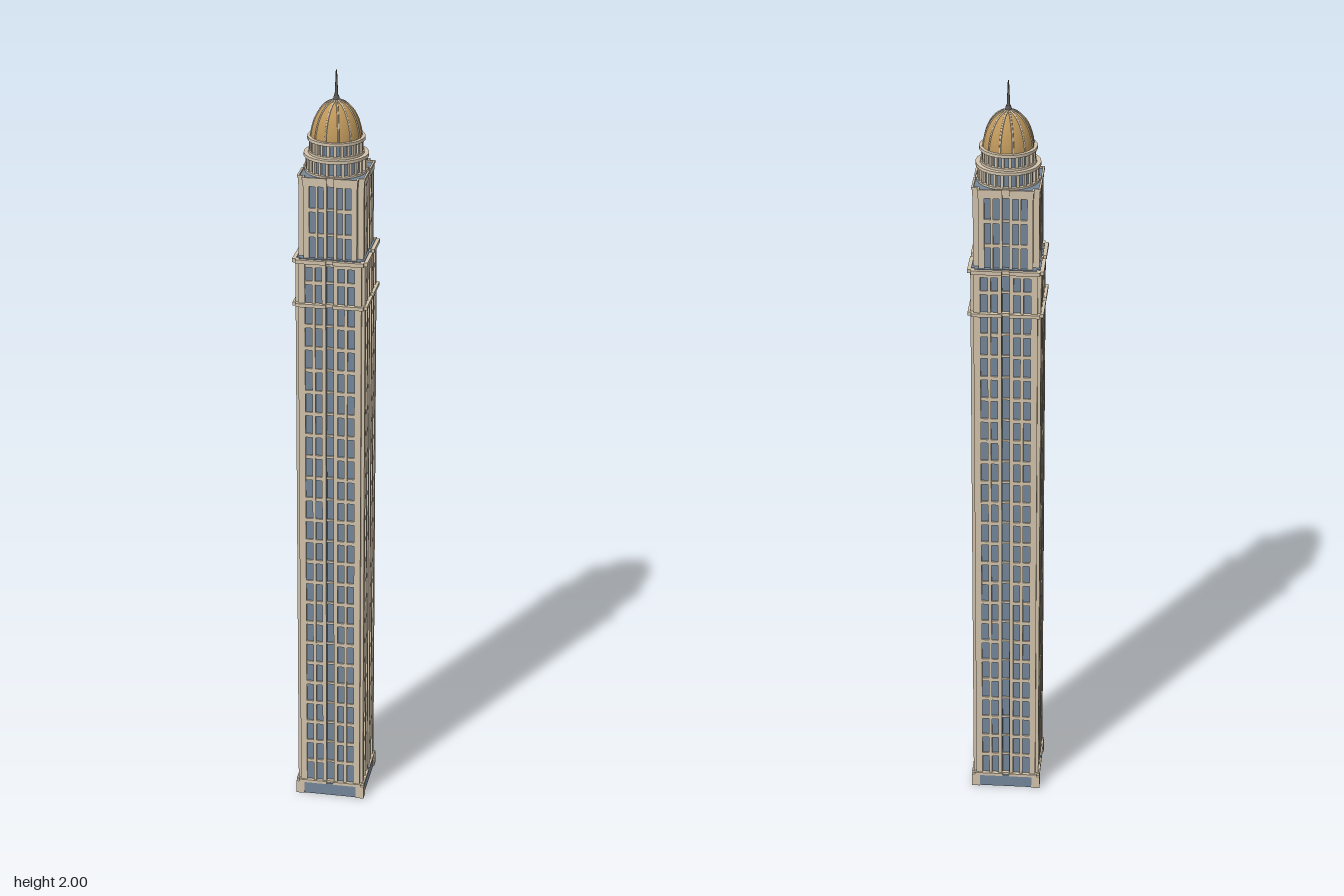
import * as THREE from 'three';
import { mergeGeometries } from 'three/addons/utils/BufferGeometryUtils.js';

const mat = (name, color) => Object.assign(new THREE.MeshStandardMaterial({ color }), { name });

export function createModel() {
  const root = new THREE.Group();
  root.name = 'domedTower';
  const stone = mat('cream stone', 0xd2c3ab);
  const slate = mat('slate glass', 0x74879a);
  const gold = mat('dome gold', 0xbd965a);
  const metal = mat('spire metal', 0x5e5a55);

  const add = (name, geo, material, parent = root) => {
    const m = new THREE.Mesh(geo, material);
    m.name = name;
    parent.add(m);
    return m;
  };

  // Rectangular plan with stepped corners and an optional shallow notch in each side
  const plan = (hx, hz, n, gap = 0, depth = 0) => {
    const quarter = [[hx - depth, 0]];
    if (gap) quarter.push([hx - depth, gap], [hx, gap]);
    quarter.push([hx, hz - n], [hx - n, hz - n], [hx - n, hz]);
    if (gap) quarter.push([gap, hz], [gap, hz - depth]);
    quarter.push([0, hz - depth]);
    const flip = (sx, sz) => quarter.map(([x, z]) => new THREE.Vector2(x * sx, z * sz));
    return [...flip(1, 1), ...flip(-1, 1).reverse().slice(1), ...flip(-1, -1).slice(1),
      ...flip(1, -1).reverse().slice(1, -1)];
  };
  const slab = (pts, y0, y1, hole) => {
    const s = new THREE.Shape(pts);
    if (hole) s.holes.push(new THREE.Path(hole));
    return new THREE.ExtrudeGeometry(s, { depth: y1 - y0, bevelEnabled: false })
      .rotateX(-Math.PI / 2).translate(0, y0, 0);
  };

  const box = (x0, x1, y0, y1, z0, z1) => new THREE.BoxGeometry(x1 - x0, y1 - y0, z1 - z0)
    .translate((x0 + x1) / 2, (y0 + y1) / 2, (z0 + z1) / 2);

  // One storey block: glass core, corner piers, thin piers and floor bands on four sides
  const tier = (name, hx, hz, n, y0, y1, bands) => {
    const g = new THREE.Group();
    g.name = name;
    root.add(g);
    add('glassCore', slab(plan(hx - 0.006, hz - 0.006, n, 0.009, 0.006), y0, y1), slate, g);
    const parts = [];
    for (let side = 0; side < 4; side++) {
      const [w, d] = side % 2 ? [hz, hx] : [hx, hz];
      const k = (w - n) / 0.08;
      const geos = [];
      for (const s of [-1, 1]) {
        for (const [a, b, back] of [[0.01, 0.02, 0.014], [0.037, 0.045, 0.014], [0.063, 0.08, 0.025]]) {
          const e = [a * k * s, b * k * s].sort((p, q) => p - q);
          geos.push(box(e[0], e[1], y0, y1, d - back, d));
        }
        for (const y of bands) {
          const e = [0.01 * k * s, 0.07 * k * s].sort((p, q) => p - q);
          geos.push(box(e[0], e[1], y - 0.005, y + 0.005, d - 0.012, d - 0.002));
        }
      }
      // Bands across the recessed centre bay
      for (const y of bands) geos.push(box(-0.011, 0.011, y - 0.003, y + 0.003, d - 0.016, d - 0.008));
      geos.forEach((q) => parts.push(q.rotateY(side * Math.PI / 2)));
    }
    add('piersAndBands', mergeGeometries(parts), stone, g);
  };
  const floors = (y0, y1, count) => Array.from({ length: count }, (_, i) => y0 + (y1 - y0) * i / (count - 1));

  // Ground floor
  add('groundGlass', slab(plan(0.089, 0.094, 0.008), 0, 0.036), slate);
  add('underside', slab(plan(0.078, 0.083, 0.008), -0.0005, 0.003), stone);
  for (const sx of [-1, 1]) for (const sz of [-1, 1]) {
    add('basePier', box(-0.011, 0.011, 0, 0.036, -0.011, 0.011)
      .translate(sx * 0.081, 0, sz * 0.086), stone);
  }
  add('baseCourse', slab(plan(0.092, 0.097, 0.008, 0.009, 0.006), 0.034, 0.042), stone);

  // Shaft, belt courses and set-back upper block
  tier('mainShaft', 0.088, 0.093, 0.008, 0.04, 1.416, floors(0.1, 1.36, 22));
  add('beltCourse', slab(plan(0.095, 0.1, 0.009, 0.009, 0.008), 1.413, 1.422), stone);
  tier('upperShaft', 0.088, 0.093, 0.008, 1.42, 1.532, [1.476, 1.522]);
  add('shaftCornice', slab(plan(0.095, 0.1, 0.009, 0.009, 0.008), 1.528, 1.538), stone);
  add('setbackRoof', slab(plan(0.086, 0.091, 0.009, 0.009, 0.004), 1.538, 1.54), slate);
  tier('crownBlock', 0.082, 0.087, 0.015, 1.538, 1.735, [1.6, 1.665]);
  add('crownFrieze', slab(plan(0.083, 0.088, 0.015, 0.009, 0.004), 1.727, 1.744), stone);
  add('crownParapet', slab(plan(0.085, 0.09, 0.015, 0.009, 0.004), 1.744, 1.75,
    plan(0.08, 0.085, 0.015, 0.009, 0.004)), stone);
  add('crownRoof', slab(plan(0.081, 0.086, 0.015, 0.009, 0.004), 1.744, 1.746), slate);

  // Two round drums with colonnades and rings
  const drum = (name, rGlass, rCols, rRing, y0, y1, count) => {
    const g = new THREE.Group();
    g.name = name;
    root.add(g);
    const cyl = (r, a, b) => new THREE.CylinderGeometry(r, r, b - a, 24).translate(0, (a + b) / 2, 0);
    add('drumGlass', cyl(rGlass, y0, y1), slate, g);
    add('drumPlinth', cyl(rCols + 0.003, y0, y0 + 0.006), stone, g);
    add('drumRing', cyl(rRing, y1 - 0.008, y1), stone, g);
    const cols = [];
    for (let i = 0; i < count; i++) {
      cols.push(new THREE.BoxGeometry(0.007, y1 - y0 - 0.004, 0.009)
        .translate(0, (y0 + y1) / 2 - 0.002, rCols - 0.0045).rotateY((i + 0.5) * 2 * Math.PI / count));
    }
    add('drumColumns', mergeGeometries(cols), stone, g);
  };
  drum('lowerDrum', 0.07, 0.076, 0.081, 1.745, 1.792, 24);
  drum('upperDrum', 0.061, 0.067, 0.072, 1.792, 1.834, 24);

  // Ribbed dome
  const profile = new THREE.SplineCurve([[0.063, 1.833], [0.0605, 1.852], [0.053, 1.878], [0.041, 1.9],
    [0.025, 1.916], [0.006, 1.925]].map(([x, y]) => new THREE.Vector2(x, y))).getPoints(16);
  add('dome', new THREE.LatheGeometry(profile, 48), gold);
  const rib = new THREE.CatmullRomCurve3(profile.map((p) => new THREE.Vector3(p.x, p.y, 0)));
  const ribs = [];
  for (let i = 0; i < 12; i++) {
    ribs.push(new THREE.TubeGeometry(rib, 16, 0.0024, 6).rotateY((i + 0.5) * Math.PI / 6));
  }
  add('domeRibs', mergeGeometries(ribs), stone);

  // Finial and spire
  add('finial', new THREE.CylinderGeometry(0.006, 0.009, 0.012, 12).translate(0, 1.93, 0), metal);
  add('spire', new THREE.CylinderGeometry(0.0015, 0.0045, 0.066, 10).translate(0, 1.967, 0), metal);
  return root;
}
